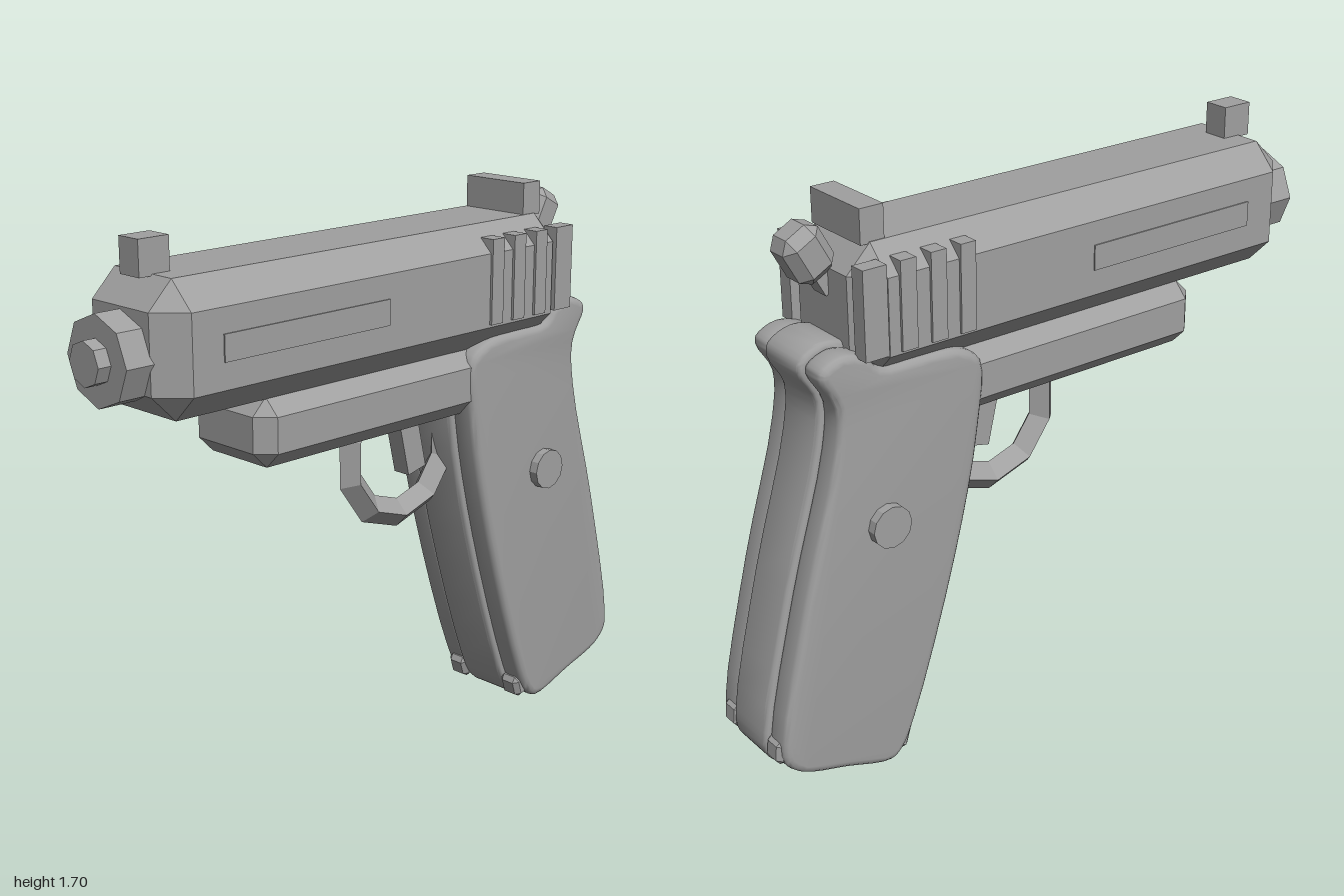
import * as THREE from 'three';
import { toCreasedNormals } from 'three/addons/utils/BufferGeometryUtils.js';
import { ConvexGeometry } from 'three/addons/geometries/ConvexGeometry.js';

const grey = new THREE.MeshStandardMaterial({ color: 0xa0a0a0 });
grey.name = 'grey';

// Box with every edge cut by the same chamfer
function chamferBox(w, h, d, c) {
  const pts = [];
  for (const sx of [-1, 1]) for (const sy of [-1, 1]) for (const sz of [-1, 1]) {
    for (let k = 0; k < 3; k++) {
      const p = [w / 2, h / 2, d / 2].map((v, i) => (i === k ? v : v - c));
      pts.push(new THREE.Vector3(sx * p[0], sy * p[1], sz * p[2]));
    }
  }
  return new ConvexGeometry(pts);
}

// Grip outline as (z, y), clockwise from the top front corner
const gripOutline = [
  [-0.265, 1.215], [-0.35, 1.272], [-0.48, 1.283], [-0.605, 1.29], [-0.645, 1.33], [-0.73, 1.353],
  [-0.805, 1.32], [-0.812, 1.28], [-0.765, 1.19], [-0.775, 1.06], [-0.89, 0.66],
  [-0.99, 0.23], [-0.985, 0.155], [-0.93, 0.1], [-0.78, 0.05], [-0.62, 0.005], [-0.57, 0.035],
  [-0.52, 0.13], [-0.36, 0.62], [-0.275, 1.0],
];

// Slab of the grip between two x positions, with rounded rims
function gripSlab(x0, x1, inset, bevel) {
  const curve = new THREE.CatmullRomCurve3(
    gripOutline.map(([z, y]) => new THREE.Vector3(z, y, 0)), true, 'centripetal');
  const pts = curve.getPoints(80).slice(0, -1).map((p) => new THREE.Vector2(p.x, p.y));
  const geo = new THREE.ExtrudeGeometry(new THREE.Shape(pts), {
    depth: x1 - x0 - 2 * bevel, bevelEnabled: true, bevelThickness: bevel,
    bevelSize: bevel, bevelOffset: -bevel - inset, bevelSegments: 3,
  });
  geo.rotateY(-Math.PI / 2);
  geo.translate(x1 - bevel, 0, 0);
  return toCreasedNormals(geo, 0.7);
}

export function createModel() {
  const model = new THREE.Group();
  const add = (name, geo, x, y, z, rx = 0) => {
    const mesh = new THREE.Mesh(geo, grey);
    mesh.name = name;
    mesh.position.set(x, y, z);
    mesh.rotation.x = rx;
    model.add(mesh);
    return mesh;
  };
  const box = (w, h, d) => new THREE.BoxGeometry(w, h, d);
  const octagon = (r, len) =>
    new THREE.CylinderGeometry(r, r, len, 8).toNonIndexed().rotateX(Math.PI / 2);
  const flat = (geo) => toCreasedNormals(geo, 0.1);

  // Upper body and the rail beneath it
  add('slide', chamferBox(0.39, 0.375, 1.555, 0.077), 0, 1.4225, 0.1025);
  add('lowerRail', chamferBox(0.326, 0.2, 0.94, 0.048), 0, 1.14, 0.07);

  // Muzzle
  add('barrelCollar', flat(octagon(0.126, 0.14)), 0, 1.4, 0.89);
  add('barrelTip', flat(octagon(0.062, 0.1)), 0, 1.4, 0.95);

  // Sights
  add('frontSight', box(0.08, 0.1, 0.1), 0, 1.655, 0.795);
  add('rearSight', box(0.23, 0.1, 0.075), 0, 1.655, -0.588);

  // Paired details on both sides
  for (const s of [-1, 1]) {
    for (const z of [-0.345, -0.441, -0.538]) {
      add('slideRib', box(0.05, 0.255, 0.05), s * 0.178, 1.448, z);
    }
    add('rearRib', box(0.05, 0.255, 0.075), s * 0.178, 1.448, -0.643);
    add('sidePanel', box(0.008, 0.075, 0.6), s * 0.195, 1.425, 0.4);
    const screw = add('gripScrew',
      flat(new THREE.CylinderGeometry(0.063, 0.063, 0.04, 12)), s * 0.18, 0.81, -0.612);
    screw.rotation.z = Math.PI / 2;
    add('gripSidePanel', s > 0 ? gripSlab(0.08, 0.172, 0.014, 0.022)
      : gripSlab(-0.172, -0.08, 0.014, 0.022), 0, 0, 0);
    add('frontLug', chamferBox(0.075, 0.075, 0.05, 0.015), s * 0.115, 0.065, -0.565, 0.3);
    add('rearLug', chamferBox(0.075, 0.075, 0.05, 0.015), s * 0.115, 0.19, -0.965, 0.1);
  }

  // Grip core
  add('gripCore', gripSlab(-0.088, 0.088, 0, 0.016), 0, 0, 0);

  // Trigger and its ring guard
  const ring = new THREE.TorusGeometry(0.205, 0.045, 4, 10);
  ring.rotateZ(Math.PI / 10).rotateY(Math.PI / 2);
  add('triggerGuard', flat(ring), 0, 0.94, -0.13);
  add('trigger', box(0.06, 0.25, 0.075), 0, 0.985, -0.16, 0.23);

  // Hammer
  add('hammer', chamferBox(0.12, 0.155, 0.125, 0.03), 0, 1.58, -0.73, -0.5);
  add('hammerArm', box(0.06, 0.12, 0.06), 0, 1.52, -0.685, -0.5);

  return model;
}
